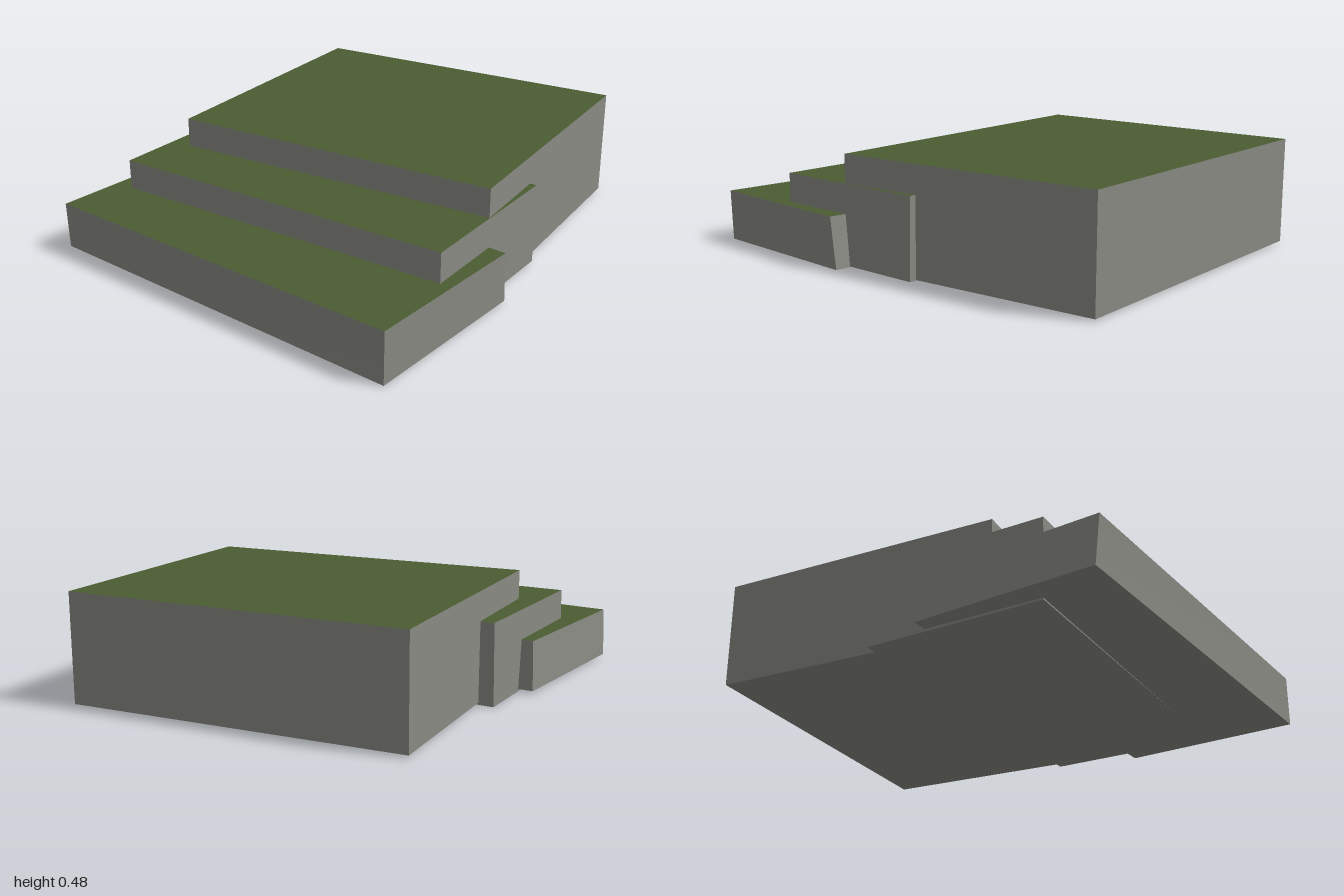
import * as THREE from 'three';

// Each slab: corners [x, y, z] in the order back left-hand (-x), back (+x), front (+x), front (-x)
const SLABS = [
  {
    name: 'lowerStep',
    top: [[-0.845, 0.22, 0.235], [0.86, 0.225, 0.23], [0.86, 0.225, 0.99], [-0.85, 0.22, 0.998]],
    bottom: [[-0.865, 0.012, 0.205], [0.852, 0.003, 0.21], [0.855, 0.002, 0.988], [-0.865, 0.01, 0.983]],
  },
  {
    name: 'middleStep',
    top: [[-0.81, 0.35, -0.06], [0.755, 0.352, -0.155], [0.808, 0.352, 0.59], [-0.758, 0.35, 0.712]],
    bottom: [[-0.816, 0.0, -0.06], [0.757, 0.005, -0.15], [0.808, 0.005, 0.595], [-0.763, 0.003, 0.71]],
  },
  {
    name: 'upperStep',
    top: [[-0.85, 0.472, -0.795], [0.605, 0.477, -1.0], [0.78, 0.475, 0.23], [-0.68, 0.477, 0.43]],
    bottom: [[-0.85, 0.01, -0.79], [0.605, 0.008, -0.995], [0.78, 0.007, 0.235], [-0.68, 0.008, 0.43]],
  },
];

// Roughly cut block: a box whose eight corners are moved to the given places
function slabGeometry(top, bottom) {
  const geo = new THREE.BoxGeometry(1, 1, 1);
  const pos = geo.attributes.position;
  for (let i = 0; i < pos.count; i++) {
    const ring = pos.getY(i) > 0 ? top : bottom;
    const right = pos.getX(i) > 0;
    const corner = pos.getZ(i) > 0 ? (right ? 2 : 3) : (right ? 1 : 0);
    pos.setXYZ(i, ...ring[corner]);
  }
  geo.computeVertexNormals();
  return geo;
}

export function createModel() {
  const stone = new THREE.MeshStandardMaterial({ color: 0x8a8a84 });
  stone.name = 'grey stone';
  const moss = new THREE.MeshStandardMaterial({ color: 0x4b5d33 });
  moss.name = 'moss green';

  const group = new THREE.Group();
  group.name = 'stoneSteps';
  // Box face order: +x, -x, top, bottom, front, back
  const faces = [stone, stone, moss, stone, stone, stone];
  for (const { name, top, bottom } of SLABS) {
    const mesh = new THREE.Mesh(slabGeometry(top, bottom), faces);
    mesh.name = name;
    group.add(mesh);
  }
  return group;
}
